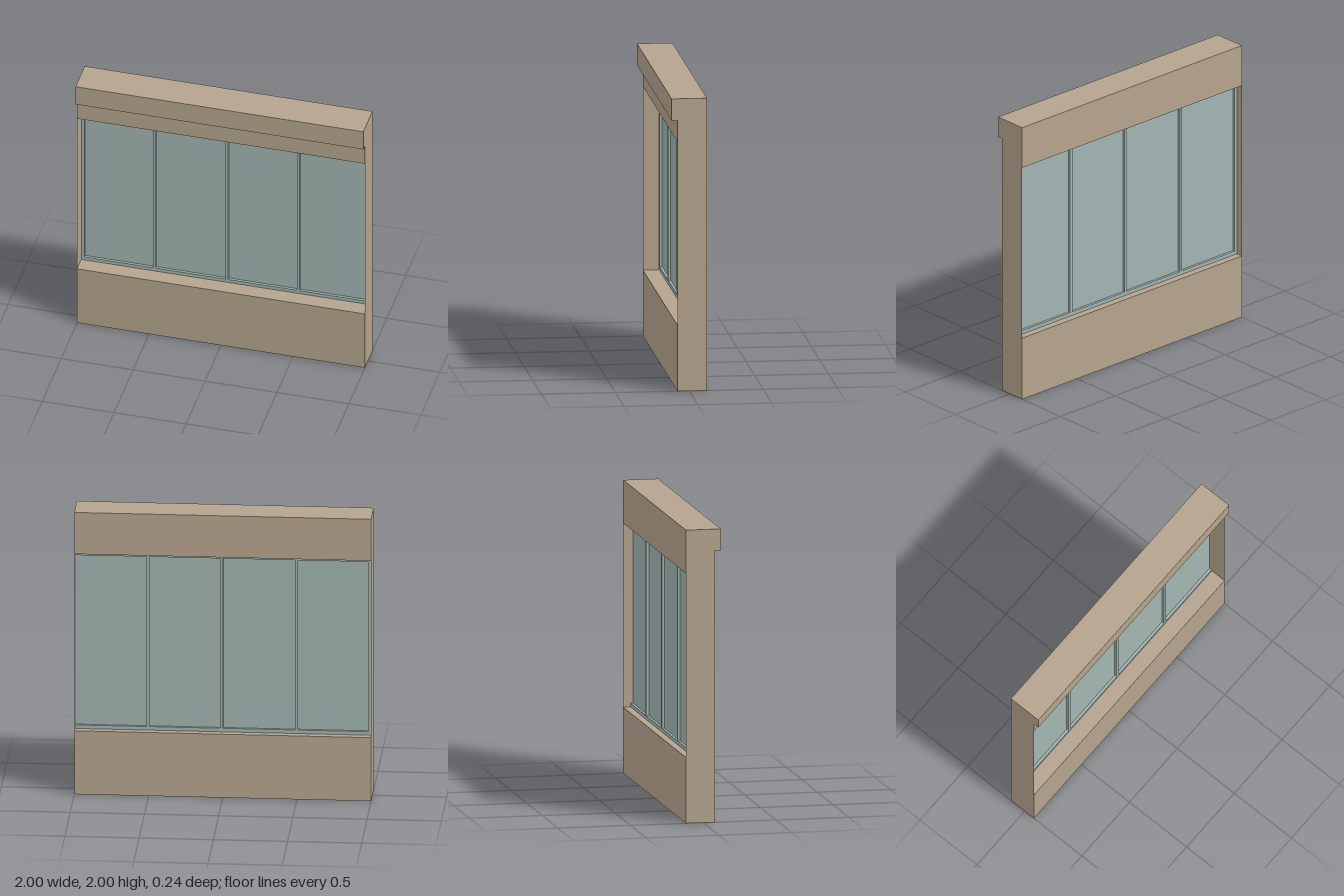
import * as THREE from 'three';

export function createModel() {
  const model = new THREE.Group();
  model.name = 'windowWall';

  const wall = new THREE.MeshStandardMaterial({ color: 0xb5a48e });
  wall.name = 'tan wall';
  const reveal = new THREE.MeshStandardMaterial({ color: 0xb5a48e, side: THREE.DoubleSide });
  reveal.name = 'tan side sheet';
  const glazing = new THREE.MeshStandardMaterial({ color: 0xa2b5b2 });
  glazing.name = 'grey green glazing';

  // Box given by its lower and upper corners
  function box(name, material, [x0, y0, z0], [x1, y1, z1]) {
    const mesh = new THREE.Mesh(new THREE.BoxGeometry(x1 - x0, y1 - y0, z1 - z0), material);
    mesh.position.set((x0 + x1) / 2, (y0 + y1) / 2, (z0 + z1) / 2);
    mesh.name = name;
    model.add(mesh);
  }

  const back = -0.12, front = 0.08, sill = 0.45, head = 1.705;

  // Lower wall
  box('lowerWall', wall, [-1, 0, back], [1, sill, front]);

  // Upper wall and projecting cornice as one profile swept along x
  const profile = new THREE.Shape([
    [-front, head], [-back, head], [-back, 2], [-0.12, 2], [-0.12, 1.853], [-front, 1.853],
  ].map(([x, y]) => new THREE.Vector2(x, y)));
  const lintel = new THREE.Mesh(
    new THREE.ExtrudeGeometry(profile, { depth: 2, bevelEnabled: false }), wall);
  lintel.rotation.y = Math.PI / 2;
  lintel.position.x = -1;
  lintel.name = 'upperWall';
  model.add(lintel);

  // Paper-thin side sheets closing the opening
  for (const side of [-1, 1]) {
    const sheet = new THREE.Mesh(new THREE.PlaneGeometry(front - back, head - sill), reveal);
    sheet.rotation.y = side * Math.PI / 2;
    sheet.position.set(side, (sill + head) / 2, (front + back) / 2);
    sheet.name = side > 0 ? 'leftSideSheet' : 'rightSideSheet';
    model.add(sheet);
  }

  // Window frame: rails, then a mullion at the start of each bay
  const end = 0.999, z0 = -0.07, z1 = -0.03, rail = 0.025;
  box('bottomRail', glazing, [-end, sill, z0], [end, sill + rail, z1]);
  box('topRail', glazing, [-end, head - rail, z0], [end, head, z1]);
  for (const x of [-0.989, -0.492, 0.011, 0.508]) {
    box('mullion', glazing, [x - 0.01, sill + rail, z0], [x + 0.01, head - rail, z1]);
  }

  // Glass
  box('glass', glazing, [-end, sill + rail, -0.052], [end, head - rail, -0.048]);

  return model;
}
